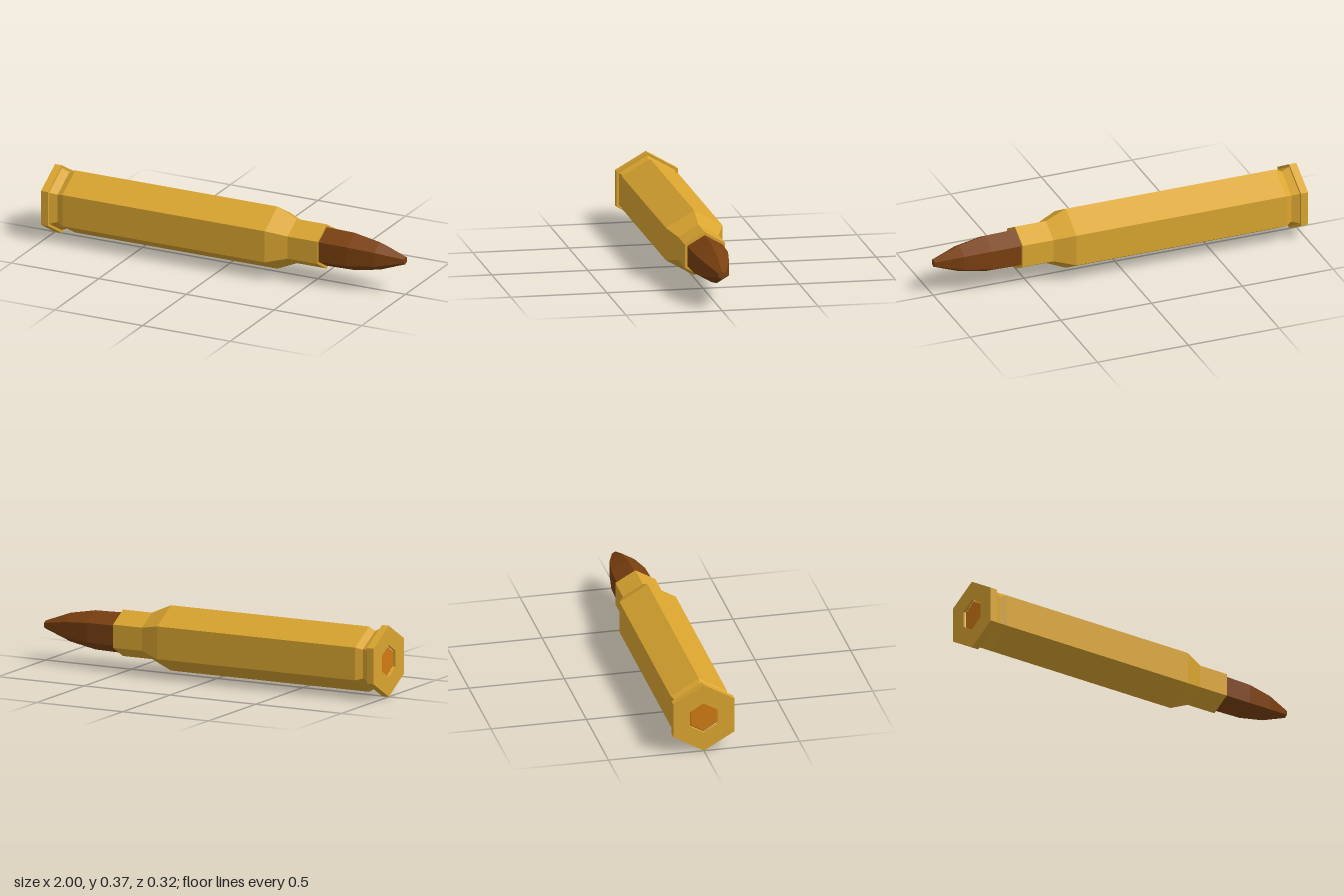
import * as THREE from 'three';

const AXIS_HEIGHT = 0.186;

// Six-sided turned part: profile is [distance along x, radius], tail to nose
function turned(name, profile, material) {
  const points = profile.map(([x, r]) => new THREE.Vector2(r, x));
  const lathe = new THREE.LatheGeometry(points, 6, Math.PI / 2);
  lathe.rotateZ(-Math.PI / 2);
  const geometry = lathe.toNonIndexed(); // faceted normals
  geometry.computeVertexNormals();
  const mesh = new THREE.Mesh(geometry, material);
  mesh.name = name;
  return mesh;
}

function flatMaterial(name, color) {
  const material = new THREE.MeshStandardMaterial({ color });
  material.name = name;
  return material;
}

export function createModel() {
  const brass = flatMaterial('brass', 0xdaa530);
  const copper = flatMaterial('dark copper', 0x7a4010);
  const primerCopper = flatMaterial('primer copper', 0xd07a14);

  const model = new THREE.Group();
  model.name = 'cartridge';
  const round = new THREE.Group();
  round.name = 'round';
  round.position.y = AXIS_HEIGHT;
  model.add(round);

  // Case: primer pocket, rim, extractor groove, body, shoulder, neck and mouth
  round.add(turned('case', [
    [-0.985, 0.083], [-1, 0.083], [-1, 0.185], [-0.96, 0.185],
    [-0.96, 0.17], [-0.92, 0.15], [-0.885, 0.17], [0.27, 0.17],
    [0.38, 0.121], [0.55, 0.121], [0.55, 0.104],
  ], brass));

  // Bullet tapering to a small flat tip
  round.add(turned('bullet', [
    [0.54, 0.106], [0.71, 0.102], [0.855, 0.075], [1, 0.021], [1, 0],
  ], copper));

  // Primer sunk slightly into the base
  round.add(turned('primer', [[-0.988, 0], [-0.988, 0.077], [-0.98, 0.083]], primerCopper));

  return model;
}
